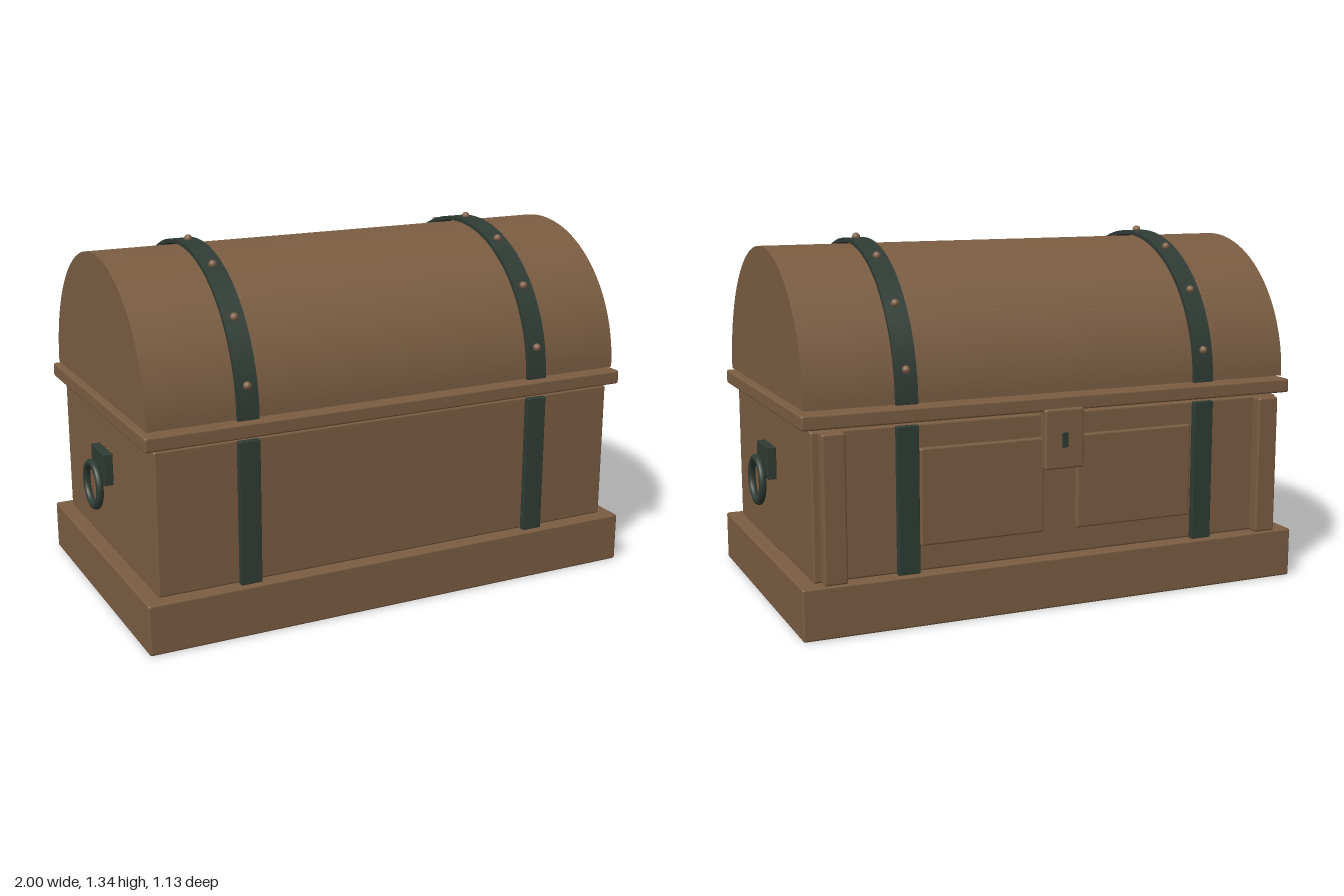
import * as THREE from 'three';
import { toCreasedNormals } from 'three/addons/utils/BufferGeometryUtils.js';
import { RoundedBoxGeometry } from 'three/addons/geometries/RoundedBoxGeometry.js';

export function createModel() {
  const chest = new THREE.Group();
  chest.name = 'treasureChest';

  const material = (name, color) => {
    const m = new THREE.MeshStandardMaterial({ color });
    m.name = name;
    return m;
  };
  const wood = material('brown wood', 0x7a5c41);
  const iron = material('dark iron', 0x2f3b34);
  const rivetMetal = material('copper rivet', 0x80604a);

  function add(name, geometry, mat, x = 0, y = 0, z = 0) {
    const mesh = new THREE.Mesh(geometry, mat);
    mesh.name = name;
    mesh.position.set(x, y, z);
    chest.add(mesh);
    return mesh;
  }

  // Softly rounded block given by its extents
  function block(name, mat, [x0, x1], [y0, y1], [z0, z1], r = 0.008) {
    const g = new RoundedBoxGeometry(x1 - x0, y1 - y0, z1 - z0, 2, r);
    return add(name, g, mat, (x0 + x1) / 2, (y0 + y1) / 2, (z0 + z1) / 2);
  }

  // Profile in the z-y plane, extruded along x and centred on it
  function extrudeX(shape, width) {
    const g = new THREE.ExtrudeGeometry(shape, { depth: width, bevelEnabled: false, curveSegments: 40 });
    g.translate(0, 0, -width / 2).rotateY(Math.PI / 2);
    return toCreasedNormals(g, 0.5);
  }

  // Plinth, body and rim
  block('base', wood, [-0.98, 0.98], [0, 0.187], [-0.565, 0.565]);
  block('body', wood, [-0.926, 0.926], [0.187, 0.715], [-0.515, 0.515]);
  block('rim', wood, [-0.965, 0.965], [0.725, 0.778], [-0.545, 0.545]);

  // Barrel lid
  const lidY = 0.788;
  const lidShape = new THREE.Shape();
  lidShape.absarc(0, 0, 0.516, 0, Math.PI);
  lidShape.closePath();
  add('lid', extrudeX(lidShape, 1.895), wood, 0, lidY, 0);

  // Iron straps with rivets
  const bandShape = new THREE.Shape();
  bandShape.absarc(0, 0, 0.537, 0, Math.PI, false);
  bandShape.absarc(0, 0, 0.522, Math.PI, 0, true);
  bandShape.closePath();
  const bandGeometry = extrudeX(bandShape, 0.08);
  const rivetGeometry = new THREE.SphereGeometry(0.015, 12, 8);

  for (const side of [-1, 1]) {
    const x = side * 0.588;
    add('lidStrap', bandGeometry, iron, x, lidY, 0);
    for (let i = 0; i < 7; i++) {
      const a = ((i + 0.5) / 7) * Math.PI;
      add('rivet', rivetGeometry, rivetMetal, x, lidY + 0.541 * Math.sin(a), 0.541 * Math.cos(a));
    }
    block('frontStrap', iron, [x - 0.04, x + 0.04], [0.187, 0.715], [0.519, 0.543], 0.003);
    block('backStrap', iron, [x - 0.04, x + 0.04], [0.187, 0.715], [-0.543, -0.519], 0.003);

    // Corner posts and raised panels on the lock side
    const px = side * 0.86;
    block('cornerPost', wood, [px - 0.042, px + 0.042], [0.189, 0.715], [-0.567, -0.516]);
    const cx = side * 0.303;
    block('raisedPanel', wood, [cx - 0.237, cx + 0.237], [0.28, 0.63], [-0.531, -0.505]);

    // Ring handle with its mounting plate
    const hx = side * 0.948;
    block('handlePlate', iron, [hx - 0.017, hx + 0.017], [0.46, 0.58], [-0.076, 0.076], 0.003);
    const ring = add('handleRing', new THREE.TorusGeometry(0.081, 0.014, 12, 40), iron, side * 0.986, 0.448, 0);
    ring.rotation.y = Math.PI / 2;
  }

  // Lock plate and keyhole
  block('lockPlate', wood, [-0.077, 0.077], [0.515, 0.735], [-0.562, -0.513]);
  block('keyhole', iron, [-0.012, 0.012], [0.595, 0.65], [-0.568, -0.56], 0.003);

  return chest;
}
